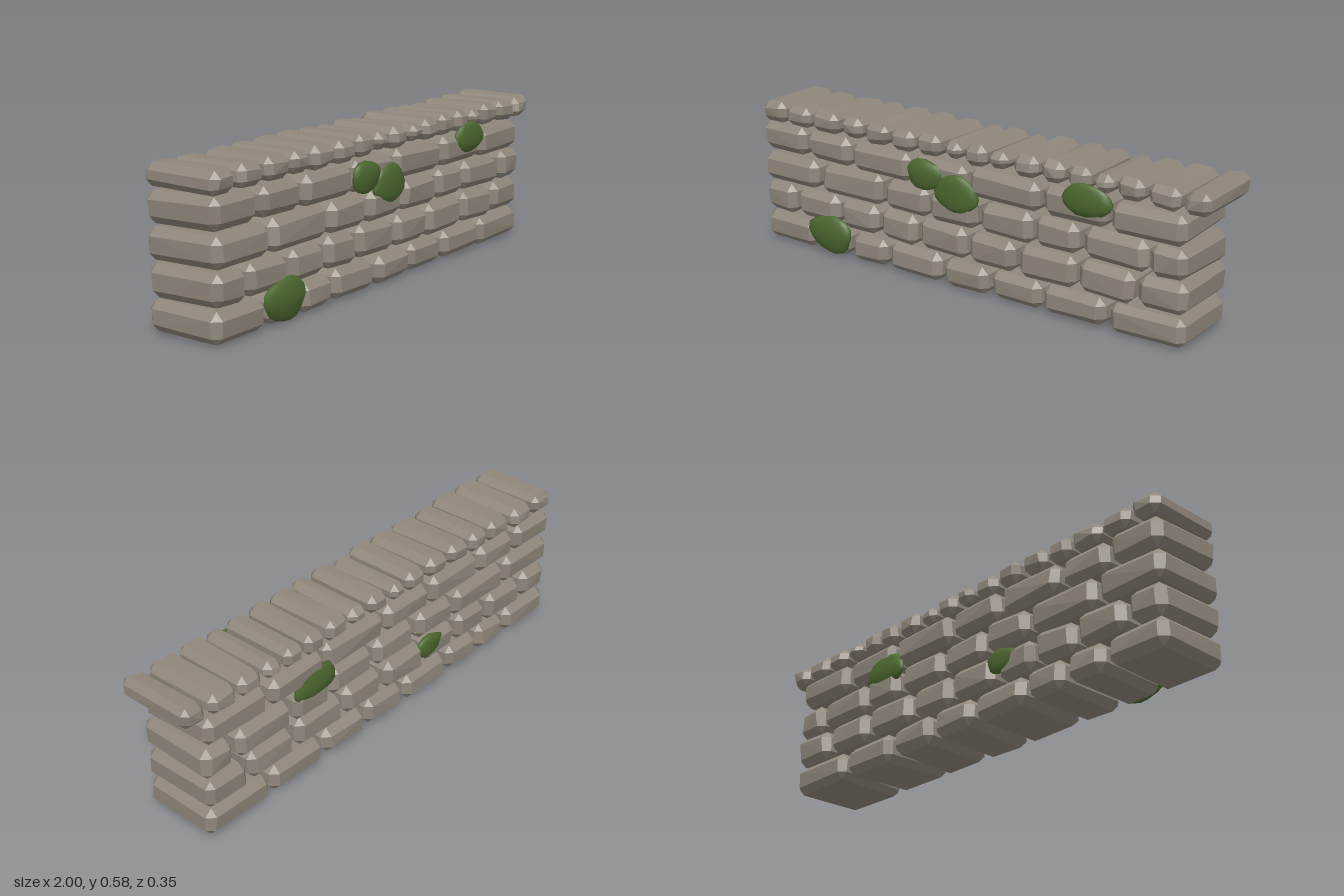
import * as THREE from 'three';
import { mergeVertices } from 'three/addons/utils/BufferGeometryUtils.js';
import { ConvexGeometry } from 'three/addons/geometries/ConvexGeometry.js';

// Each course: bottom, top, right end and the joints between its stones
const COURSES = [
  { name: 'course1', y0: 0.005, y1: 0.117, end: 0.93, joints: [-0.735, -0.555, -0.365, -0.105, 0.115, 0.345, 0.62] },
  { name: 'course2', y0: 0.122, y1: 0.244, end: 0.93, joints: [-0.835, -0.61, -0.41, -0.22, 0.015, 0.235, 0.49, 0.725] },
  { name: 'course3', y0: 0.249, y1: 0.368, end: 0.93, joints: [-0.71, -0.39, -0.165, 0.065, 0.305, 0.5, 0.775] },
  { name: 'course4', y0: 0.373, y1: 0.489, end: 0.92, joints: [-0.77, -0.54, -0.245, 0.015, 0.335, 0.615] },
  {
    name: 'coping', y0: 0.492, y1: 0.578, end: 1.006, small: [7, 9, 13],
    joints: [-0.875, -0.74, -0.595, -0.48, -0.35, -0.225, -0.105, -0.01, 0.105, 0.205, 0.325, 0.435, 0.54, 0.635, 0.755, 0.89],
  },
];

// Moss clumps: centre x, y, z and half sizes
const MOSS = [
  [-0.65, 0.09, 0.148, 0.112, 0.08, 0.027],
  [-0.03, 0.373, 0.146, 0.106, 0.076, 0.026],
  [-0.175, 0.425, 0.146, 0.088, 0.06, 0.024],
  [0.53, 0.465, 0.146, 0.1, 0.066, 0.024],
  [0.39, 0.375, -0.15, 0.105, 0.068, 0.024],
  [-0.25, 0.205, -0.148, 0.075, 0.048, 0.02],
];

function seeded(seed) {
  return () => {
    seed = (seed * 16807) % 2147483647;
    return (seed / 2147483647) * 2 - 1; // -1 to 1
  };
}

// Chamfered block with slightly uneven corners
function stoneGeometry(w, h, d, bevel, rand) {
  const points = [];
  for (const sx of [-1, 1]) for (const sy of [-1, 1]) for (const sz of [-1, 1]) {
    const x = sx * (w / 2 + rand() * 0.002);
    const y = sy * (h / 2 + rand() * 0.003);
    const z = sz * (d / 2 + rand() * 0.004);
    const b = bevel * (1 + rand() * 0.12);
    points.push(
      new THREE.Vector3(x, y - sy * b, z - sz * b),
      new THREE.Vector3(x - sx * b, y, z - sz * b),
      new THREE.Vector3(x - sx * b, y - sy * b, z),
    );
  }
  return new ConvexGeometry(points);
}

// Flattened lump with a gently uneven outline
function mossGeometry(rx, ry, rz, phase) {
  let geo = new THREE.IcosahedronGeometry(1, 2);
  geo.deleteAttribute('normal');
  geo.deleteAttribute('uv');
  geo = mergeVertices(geo);
  const p = geo.attributes.position;
  for (let i = 0; i < p.count; i++) {
    const x = p.getX(i), y = p.getY(i), z = p.getZ(i);
    const k = 0.97 + 0.05 * Math.sin(4 * x + phase) + 0.05 * Math.sin(5 * y + 2 * z + phase * 2);
    p.setXYZ(i, x * k * rx, y * k * ry, z * k * rz);
  }
  geo.computeVertexNormals();
  return geo;
}

export function createModel() {
  const wall = new THREE.Group();
  wall.name = 'stoneWall';
  const stone = new THREE.MeshStandardMaterial({ color: 0x8f867a });
  stone.name = 'stone';
  stone.flatShading = true;
  const moss = new THREE.MeshStandardMaterial({ color: 0x4b672e });
  moss.name = 'moss';
  const rand = seeded(4711);

  // Courses of stones, topped by a row of narrow coping stones
  for (const { name, y0, y1, end, joints, small = [] } of COURSES) {
    const course = new THREE.Group();
    course.name = name;
    const edges = [-1.006, ...joints, end];
    for (let i = 0; i < edges.length - 1; i++) {
      const shrink = small.includes(i) ? 0.018 : 0;
      const w = edges[i + 1] - edges[i] - 0.016;
      const h = y1 - y0 - 0.004 - shrink;
      const d = 0.313 + rand() * 0.005;
      const mesh = new THREE.Mesh(stoneGeometry(w, h, d, name === 'coping' ? 0.024 : 0.027, rand), stone);
      mesh.name = name === 'coping' ? 'copingStone' : 'wallStone';
      mesh.position.set((edges[i] + edges[i + 1]) / 2, (y0 + y1) / 2, -0.004 + rand() * 0.004);
      mesh.rotation.set(rand() * 0.02, rand() * 0.01, rand() * 0.014);
      course.add(mesh);
    }
    wall.add(course);
  }

  // Moss clumps on both faces
  MOSS.forEach(([x, y, z, rx, ry, rz], i) => {
    const mesh = new THREE.Mesh(mossGeometry(rx, ry, rz, i * 1.3), moss);
    mesh.name = 'mossClump';
    mesh.position.set(x, y, z);
    wall.add(mesh);
  });

  return wall;
}
